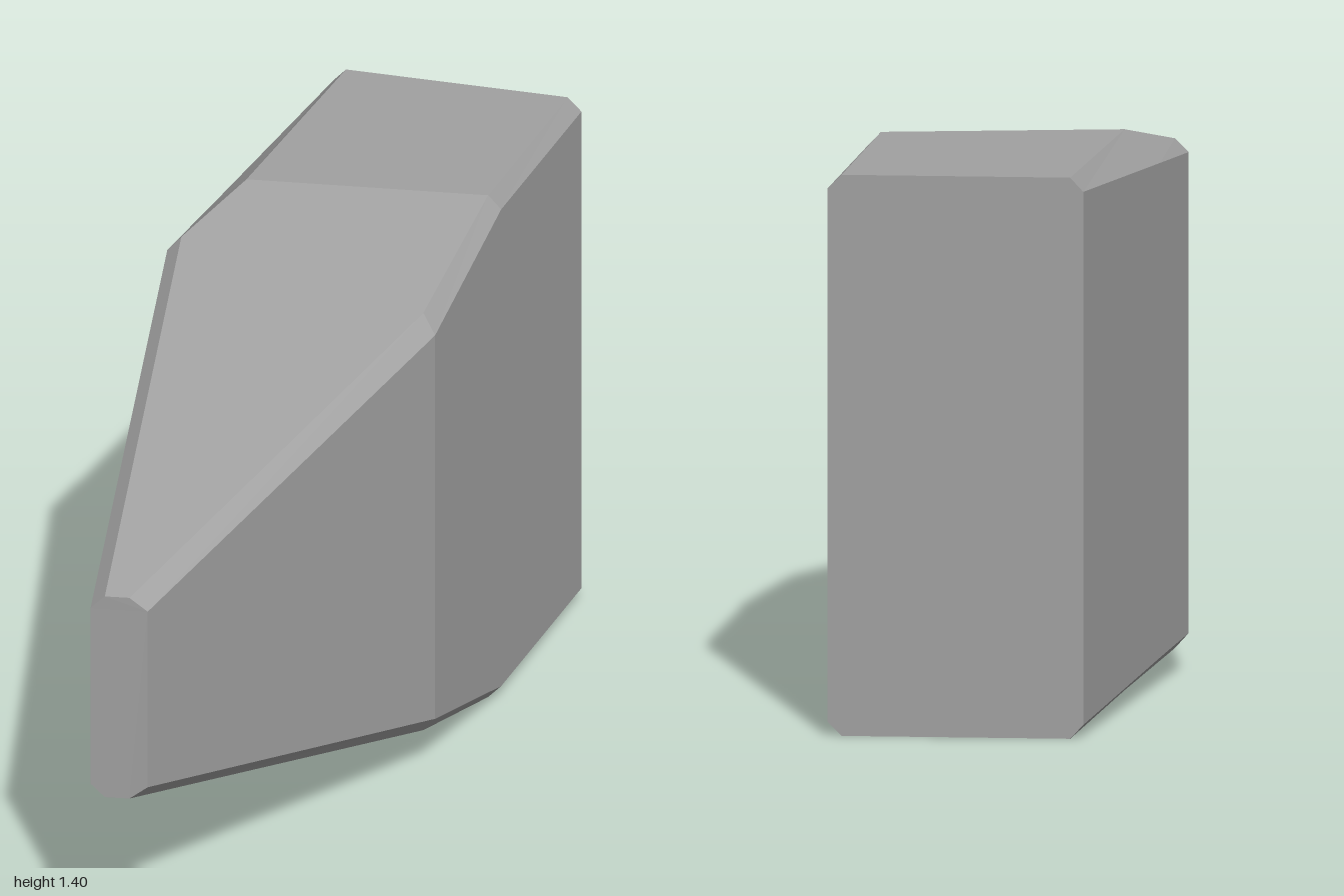
import * as THREE from 'three';

const MID = 0.7; // the block is mirrored about this height

// Upper half of each cross-section, front to back:
// right edge, right bevel top, left bevel top, left edge
const stations = [
  [[-0.165, 0.945, 0.983], [-0.21, 0.98, 0.988], [-0.27, 0.98, 0.996], [-0.305, 0.945, 1]],
  [[0.295, 1.235, -0.04], [0.26, 1.282, -0.06], [-0.385, 1.336, -0.19], [-0.418, 1.3, -0.18]],
  [[0.35, 1.365, -0.47], [0.317, 1.4, -0.47], [-0.275, 1.4, -0.4], [-0.362, 1.317, -0.4]],
  [[0.415, 1.365, -1], [0.38, 1.4, -1], [-0.18, 1.4, -1], [-0.212, 1.365, -1]],
];

// Mirror a half section downwards to get a closed octagon
function ring(half) {
  const lower = half.map(([x, y, z]) => [x, 2 * MID - y, z]).reverse();
  return [...half, ...lower];
}

export function createModel() {
  const group = new THREE.Group();
  group.name = 'bevelledBlock';

  const rings = stations.map(ring);
  const n = rings[0].length;
  const positions = [];
  const tri = (a, b, c) => positions.push(...a, ...b, ...c);

  // Side panels and bevels between neighbouring sections
  for (let i = 0; i < rings.length - 1; i++) {
    for (let j = 0; j < n; j++) {
      const k = (j + 1) % n;
      const a = rings[i][j], b = rings[i][k], c = rings[i + 1][k], d = rings[i + 1][j];
      tri(a, d, c);
      tri(a, c, b);
    }
  }

  // Front and back caps
  const front = rings[0], back = rings[rings.length - 1];
  for (let j = 1; j < n - 1; j++) {
    tri(front[0], front[j], front[j + 1]);
    tri(back[0], back[j + 1], back[j]);
  }

  const geometry = new THREE.BufferGeometry();
  geometry.setAttribute('position', new THREE.Float32BufferAttribute(positions, 3));
  geometry.computeVertexNormals();

  const stone = new THREE.MeshStandardMaterial({ color: 0xa0a0a0 });
  stone.name = 'grey stone';
  const block = new THREE.Mesh(geometry, stone);
  block.name = 'block';
  group.add(block);
  return group;
}
